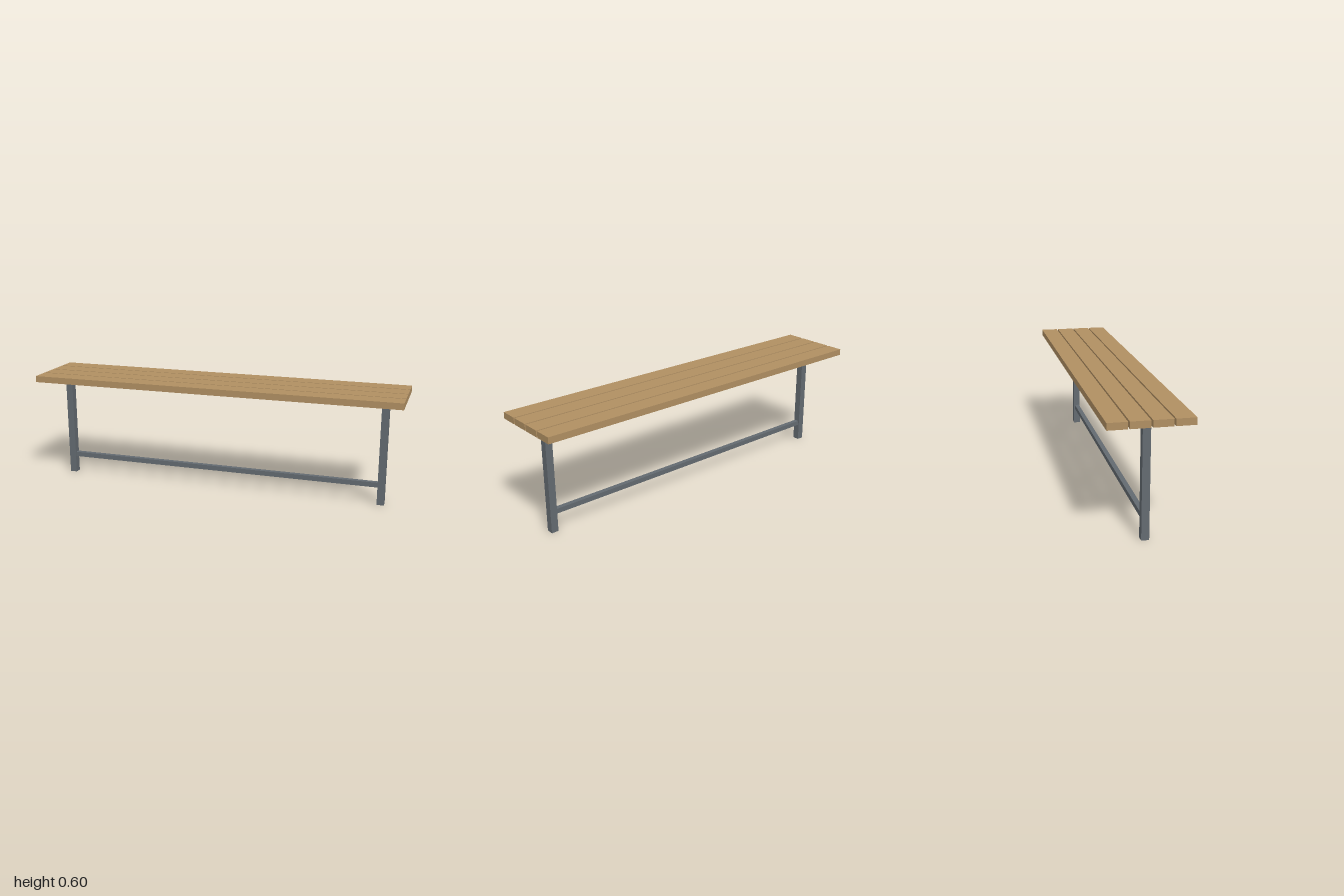
import * as THREE from 'three';

const wood = new THREE.MeshStandardMaterial({ color: 0xb08f62 });
const steel = new THREE.MeshStandardMaterial({ color: 0x636a70 });

// Box given by its size and centre
function addBox(parent, name, material, [w, h, d], [x, y, z]) {
  const mesh = new THREE.Mesh(new THREE.BoxGeometry(w, h, d), material);
  mesh.name = name;
  mesh.position.set(x, y, z);
  parent.add(mesh);
}

export function createModel() {
  const bench = new THREE.Group();
  bench.name = 'bench';

  const legHeight = 0.569, legSize = 0.038, legX = 0.894;
  const plankThickness = 0.034, plankDepth = 0.094, plankPitch = 0.102;

  // Seat: four planks with narrow gaps
  const seat = new THREE.Group();
  seat.name = 'seat';
  bench.add(seat);
  for (let i = 0; i < 4; i++) {
    addBox(seat, `plank${i + 1}`, wood, [2, plankThickness, plankDepth],
      [0, legHeight + plankThickness / 2, (i - 1.5) * plankPitch]);
  }

  // Square legs, one at each end
  for (const [side, name] of [[1, 'leftLeg'], [-1, 'rightLeg']]) {
    addBox(bench, name, steel, [legSize, legHeight, legSize], [side * legX, legHeight / 2, 0]);
  }

  // Low stretcher joining the legs
  addBox(bench, 'stretcher', steel, [2 * legX - legSize, 0.026, 0.026], [0, 0.107, 0]);

  return bench;
}
